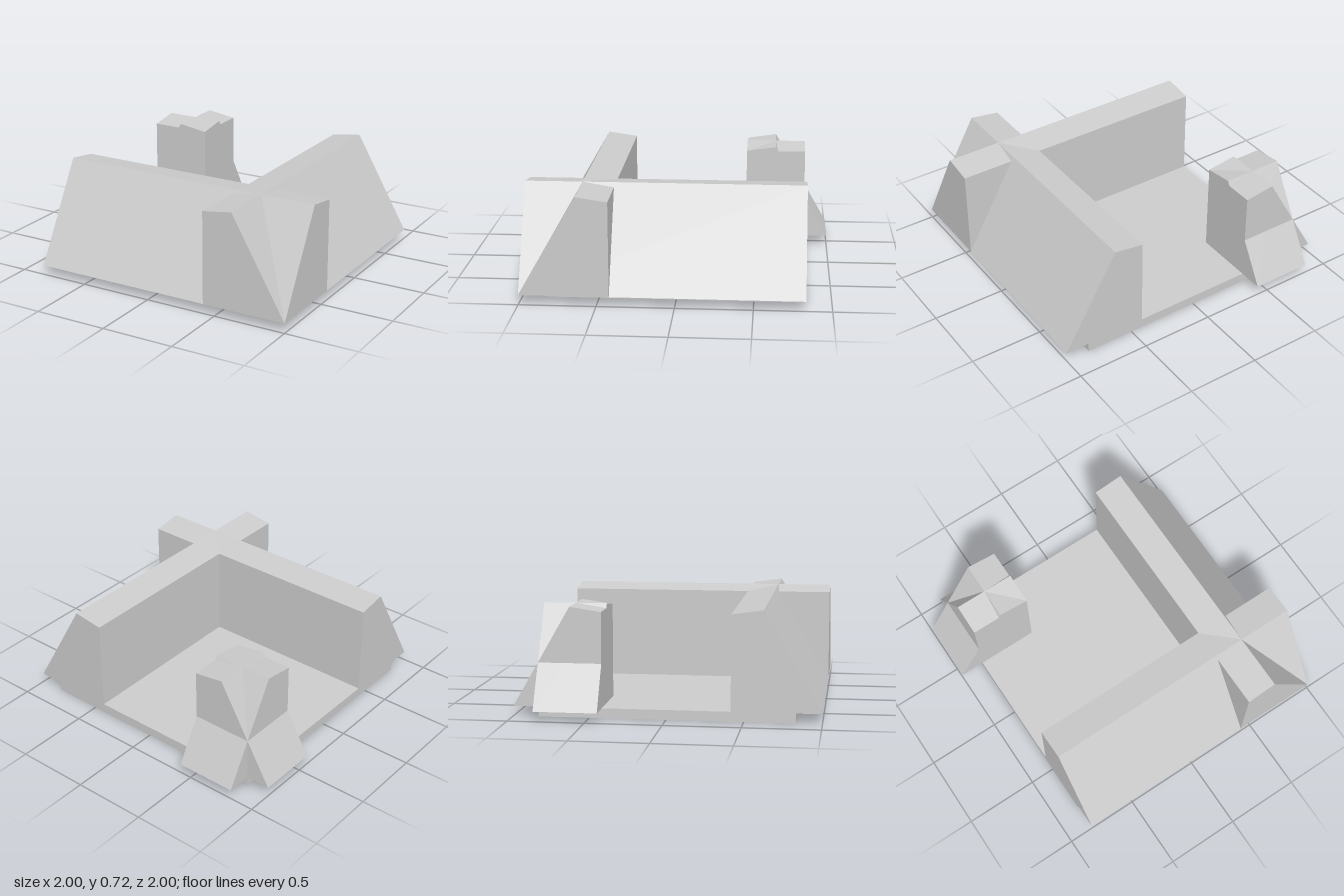
import * as THREE from 'three';

const EDGE = 0.833;   // half width of the floor
const INNER = 0.417;  // inner wall face
const RIDGE = 0.623;  // wall ridge
const FLOOR = 0.065;  // floor thickness
const TOP = 0.72;

export function createModel() {
  const group = new THREE.Group();
  const stone = new THREE.MeshStandardMaterial({ color: 0xcccccc });
  stone.name = 'grey stone';

  const add = (name, geometry) => {
    const mesh = new THREE.Mesh(geometry, stone);
    mesh.name = name;
    group.add(mesh);
  };

  // Sloped wall section, outer side towards `side`, swept from `from` to `to`
  const wall = (name, side, from, to, alongX) => {
    const s = alongX ? -side : side;
    const section = new THREE.Shape([
      [INNER, FLOOR], [1, FLOOR], [RIDGE, TOP], [INNER, 0.69],
    ].map(([u, v]) => new THREE.Vector2(s * u, v)));
    const geometry = new THREE.ExtrudeGeometry(section, { depth: to - from, bevelEnabled: false });
    geometry.translate(0, 0, from);
    if (alongX) geometry.rotateY(Math.PI / 2);
    add(name, geometry);
  };

  // Floor slab
  const slab = new THREE.BoxGeometry(2 * EDGE, FLOOR, 2 * EDGE);
  slab.translate(0, FLOOR / 2, 0);
  add('floor', slab);

  // Two long walls crossing at the front corner
  wall('frontWall', 1, -EDGE, 1, true);
  wall('sideWall', 1, -EDGE, 1, false);

  // Short crossing walls that form the opposite corner post
  wall('cornerPostBack', -1, -EDGE, -INNER, true);
  wall('cornerPostSide', -1, -EDGE, -INNER, false);

  return group;
}
